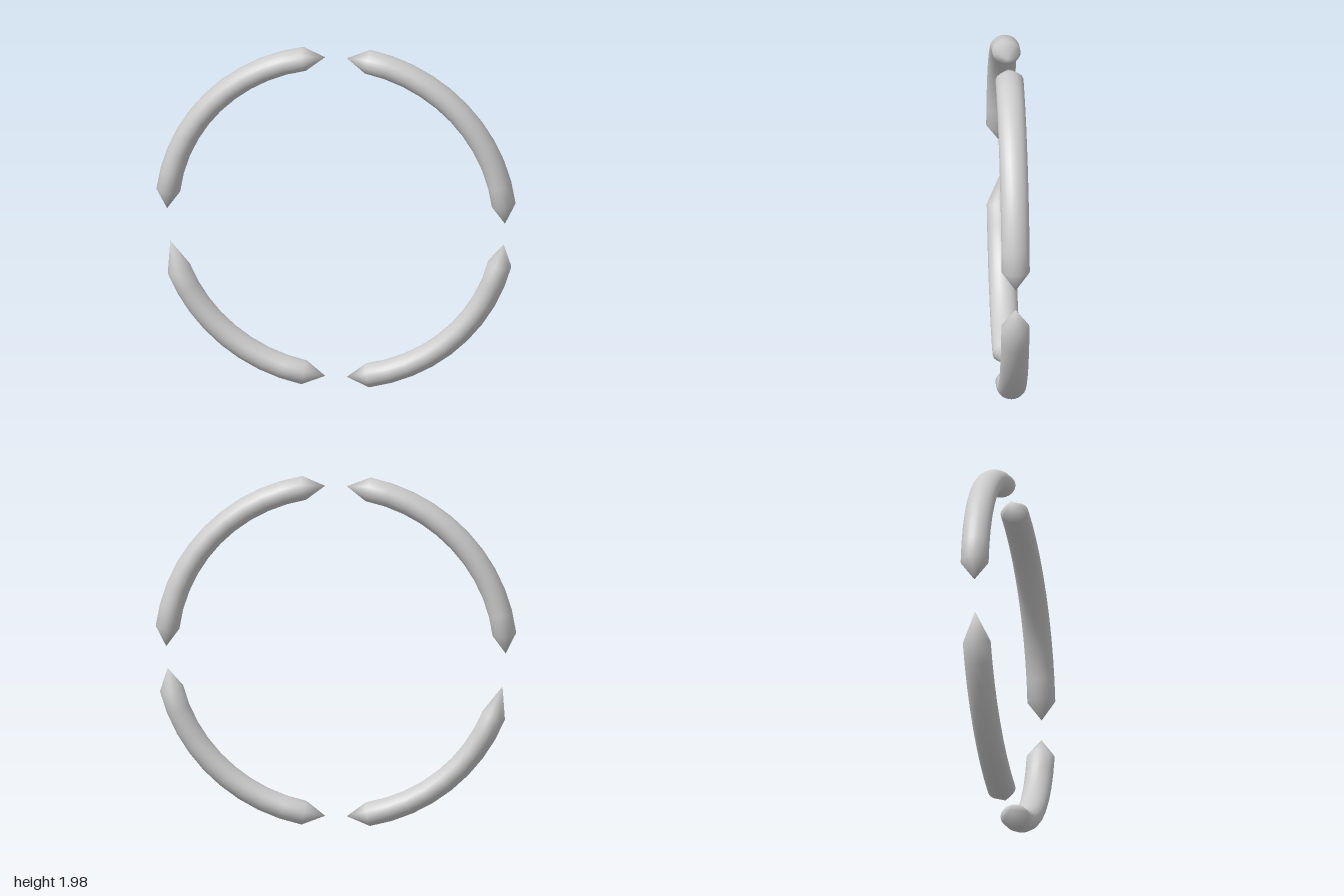
import * as THREE from 'three';

const RING = 0.941, CENTRE_Y = 0.99; // ring radius and centre height
const HALF_R = 0.066, HALF_Z = 0.078; // oval section
const SIDES = 24, START = 3.66, STEP = 7.2; // degrees from vertical

// One curved bar: oval rings along the arc, each end drawn to a point.
function arcBar(sx, sy, rings, endTip) {
  const pos = [], idx = [];
  const add = (deg, phi, scale) => {
    const t = THREE.MathUtils.degToRad(deg);
    const r = RING + HALF_R * scale * Math.cos(phi);
    pos.push(sx * r * Math.sin(t), CENTRE_Y + sy * r * Math.cos(t), HALF_Z * scale * Math.sin(phi));
  };
  const tri = (a, b, c) => (sx * sy > 0 ? idx.push(a, b, c) : idx.push(a, c, b));

  for (let i = 1; i <= rings; i++) {
    for (let j = 0; j < SIDES; j++) add(START + STEP * i, (j / SIDES) * Math.PI * 2, 1);
  }
  const first = rings * SIDES, last = first + 1;
  add(START, 0, 0);
  add(endTip, 0, 0);

  for (let j = 0; j < SIDES; j++) {
    const k = (j + 1) % SIDES;
    for (let i = 0; i < rings - 1; i++) {
      const a = i * SIDES, b = a + SIDES;
      tri(a + j, a + k, b + j);
      tri(a + k, b + k, b + j);
    }
    const e = (rings - 1) * SIDES;
    tri(first, k, j); // pointed start
    tri(e + j, e + k, last); // pointed end
  }
  const geo = new THREE.BufferGeometry();
  geo.setAttribute('position', new THREE.Float32BufferAttribute(pos, 3));
  geo.setIndex(idx);
  geo.computeVertexNormals();
  return geo;
}

export function createModel() {
  const group = new THREE.Group();
  group.name = 'segmentedRing';
  const material = new THREE.MeshStandardMaterial({ color: 0xcccccc });
  // name, x side, y side, number of full rings, angle of the far tip
  const bars = [
    ['upperLeftArc', 1, 1, 11, 89.6],
    ['upperRightArc', -1, 1, 11, 89.6],
    ['lowerLeftArc', 1, -1, 10, 82.9],
    ['lowerRightArc', -1, -1, 9, 78.9],
  ];
  for (const [name, sx, sy, rings, endTip] of bars) {
    const mesh = new THREE.Mesh(arcBar(sx, sy, rings, endTip), material);
    mesh.name = name;
    group.add(mesh);
  }
  return group;
}
